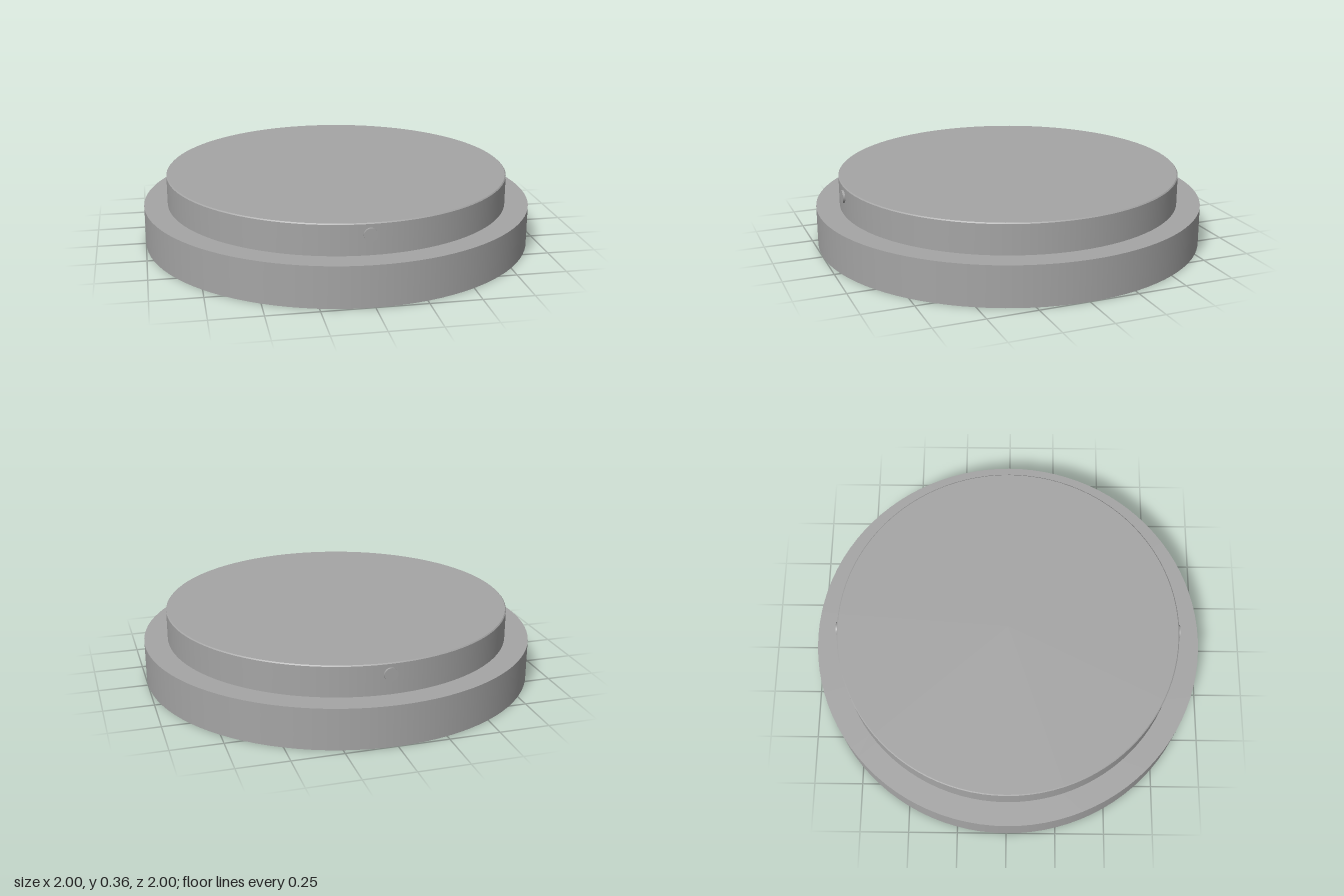
import * as THREE from 'three';

export function createModel() {
  const group = new THREE.Group();
  const material = (name, color) => {
    const m = new THREE.MeshStandardMaterial({ color });
    m.name = name;
    return m;
  };
  const grey = material('grey', 0xa5a5a5);
  const paleGrey = material('paleGrey', 0xdedede);

  // Turn a list of [radius, y] corners into a solid whose profile edges stay sharp
  const addTurned = (name, corners) => {
    const bands = new THREE.Group();
    bands.name = name;
    for (let i = 0; i < corners.length - 1; i++) {
      const points = [corners[i], corners[i + 1]].map(([r, y]) => new THREE.Vector2(r, y));
      bands.add(new THREE.Mesh(new THREE.LatheGeometry(points, 96), grey));
    }
    group.add(bands);
  };

  // Wide base with a rim underneath, and the raised disc with a slight edge break
  addTurned('base', [[0.92, 0.03], [0.92, 0], [1, 0], [1, 0.205], [0.88, 0.205]]);
  addTurned('raisedDisc', [[0.88, 0.205], [0.88, 0.355], [0.875, 0.36], [0, 0.36]]);

  // Pale panel set into the underside
  const panel = new THREE.Mesh(new THREE.CircleGeometry(0.92, 96), paleGrey);
  panel.name = 'undersidePanel';
  panel.rotation.x = Math.PI / 2;
  panel.position.y = 0.03;
  group.add(panel);

  // Small round pins on the front and back of the disc
  for (const [name, side] of [['frontPin', 1], ['backPin', -1]]) {
    const pin = new THREE.Mesh(new THREE.CylinderGeometry(0.033, 0.033, 0.04, 32), grey);
    pin.name = name;
    pin.rotation.x = side * Math.PI / 2;
    pin.position.set(0, 0.305, side * 0.87);
    group.add(pin);
  }

  return group;
}
